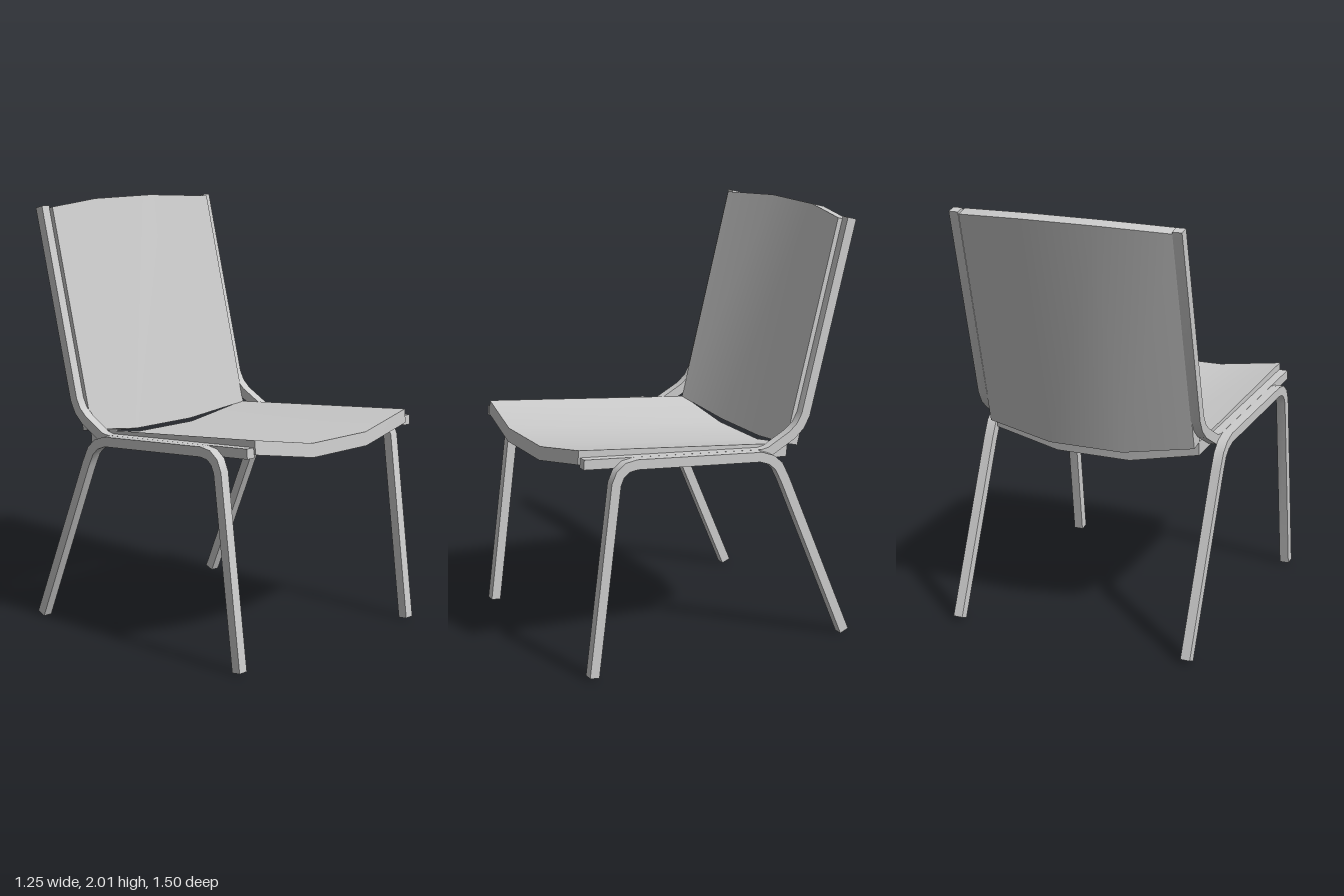
import * as THREE from 'three';
import { toCreasedNormals } from 'three/addons/utils/BufferGeometryUtils.js';

const BAR = 0.046;

// Square bar following a side path of [z, y] points, with mitred joints
function barGeometry(path) {
  const pts = path.map(([z, y]) => new THREE.Vector2(z, y));
  const near = [], far = [];
  pts.forEach((p, i) => {
    const a = p.clone().sub(pts[Math.max(i - 1, 0)]).normalize();
    const b = pts[Math.min(i + 1, pts.length - 1)].clone().sub(p).normalize();
    if (i === 0) a.copy(b);
    if (i === pts.length - 1) b.copy(a);
    const n = new THREE.Vector2(-a.y - b.y, a.x + b.x).normalize();
    const reach = BAR / 2 / n.dot(new THREE.Vector2(-a.y, a.x));
    near.push(p.clone().addScaledVector(n, reach));
    far.unshift(p.clone().addScaledVector(n, -reach));
  });
  const geo = new THREE.ExtrudeGeometry(new THREE.Shape([...near, ...far]), { depth: BAR, bevelEnabled: false });
  geo.translate(0, 0, -BAR / 2).rotateY(-Math.PI / 2);
  return toCreasedNormals(geo, 0.7);
}

// Dished panel: the middle sags and its two ends bow outward
function panelGeometry() {
  const geo = new THREE.BoxGeometry(1.04, 0.065, 1.07, 3, 1, 1);
  const p = geo.attributes.position;
  for (let i = 0; i < p.count; i++) {
    const x = p.getX(i);
    if (Math.abs(x) > 0.4) continue;
    p.setX(i, Math.sign(x) * 0.185);
    p.setY(i, p.getY(i) - 0.06);
    p.setZ(i, p.getZ(i) + Math.sign(p.getZ(i)) * 0.035);
  }
  geo.computeVertexNormals();
  return geo;
}

export function createModel() {
  const model = new THREE.Group();
  model.name = 'chair';
  const material = new THREE.MeshStandardMaterial({ color: 0xcccccc });
  const add = (name, geo, x, y, z, tilt = 0) => {
    const mesh = new THREE.Mesh(geo, material);
    mesh.name = name;
    mesh.position.set(x, y, z);
    mesh.rotation.x = tilt;
    model.add(mesh);
  };

  // Seat and backrest share one panel
  const panel = panelGeometry();
  add('seat', panel, 0, 0.963, 0.175, -0.09);
  add('backrest', panel, 0, 1.458, -0.513, 1.324);

  // Outer hoops: front leg, rail and back leg in one bent bar
  const legs = barGeometry([
    [0.68, 0], [0.565, 0.89], [0.545, 0.935], [0.51, 0.962], [0.46, 0.97],
    [-0.17, 0.925], [-0.225, 0.905], [-0.265, 0.87], [-0.30, 0.80], [-0.642, 0],
  ]);
  // Inner bars: seat rail bending up into the backrest post
  const post = barGeometry([
    [0.70, 0.987], [-0.2, 0.923], [-0.24, 0.93], [-0.36, 0.995],
    [-0.405, 1.035], [-0.432, 1.085], [-0.66, 1.985],
  ]);
  for (const [side, s] of [['left', 1], ['right', -1]]) {
    add(side + 'LegFrame', legs, s * 0.587, 0, 0);
    add(side + 'SeatAndBackRail', post, s * 0.54, 0, 0);
  }

  // The whole chair is turned very slightly
  model.rotation.y = 0.02;
  return model;
}
